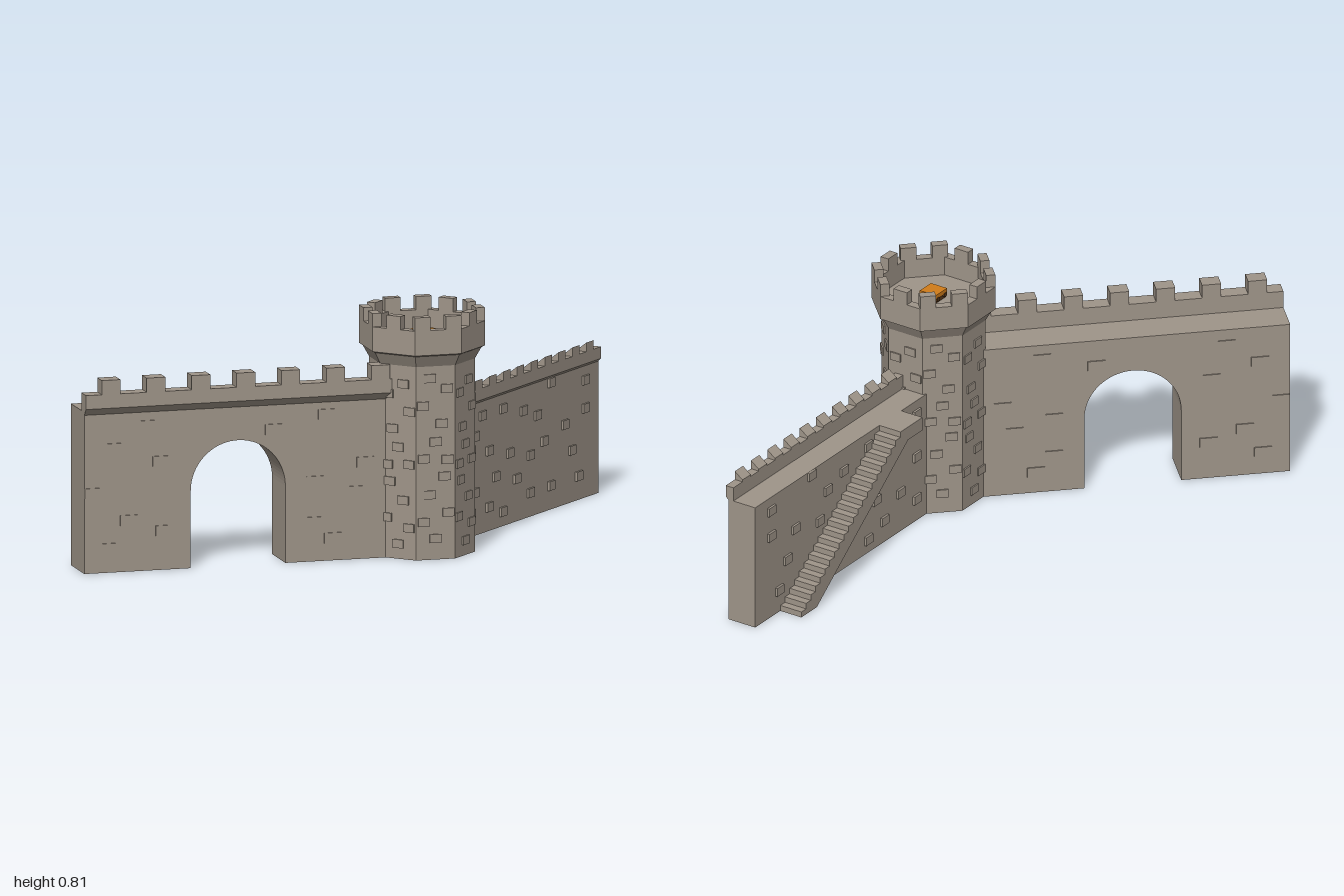
import * as THREE from 'three';

const stone = new THREE.MeshStandardMaterial({ color: 0x9f9589 });
stone.name = 'stone';
const ember = new THREE.MeshStandardMaterial({ color: 0xd07c1a });
ember.name = 'ember orange';
const wood = new THREE.MeshStandardMaterial({ color: 0x5a3a1c });
wood.name = 'charred wood';

// Adds a faceted mesh
function add(parent, name, geometry, material = stone) {
  const g = geometry.index ? geometry.toNonIndexed() : geometry;
  g.computeVertexNormals();
  const mesh = new THREE.Mesh(g, material);
  mesh.name = name;
  parent.add(mesh);
  return mesh;
}

const box = (w, h, d, x, y, z) => new THREE.BoxGeometry(w, h, d).translate(x, y, z);

function group(parent, name) {
  const g = new THREE.Group();
  g.name = name;
  parent.add(g);
  return g;
}

// Sweeps a (z, y) cross-section along x
function sweepX(profile, x0, x1) {
  const shape = new THREE.Shape(profile.map(([z, y]) => new THREE.Vector2(-z, y)));
  return new THREE.ExtrudeGeometry(shape, { depth: x1 - x0, bevelEnabled: false })
    .rotateY(Math.PI / 2).translate(x0, 0, 0);
}

function buildTower(parent) {
  const tower = group(parent, 'tower');
  tower.position.set(0.165, 0, 0.33);

  // Octagonal shaft, flared head and hollow parapet in one profile of apothems
  const c = Math.cos(Math.PI / 8);
  const profile = [[0, 0], [0.16, 0], [0.16, 0.64], [0.18, 0.678], [0.19, 0.683],
    [0.19, 0.765], [0.16, 0.765], [0.16, 0.7], [0, 0.7]]
    .map(([r, y]) => new THREE.Vector2(r / c, y));
  add(tower, 'towerBody', new THREE.LatheGeometry(profile, 8, Math.PI / 8));

  // Raised stones: sideways offset and height on a face
  const stones = [[0.038, 0.565], [-0.043, 0.51], [0.02, 0.45], [0, 0.39], [-0.04, 0.335],
    [0.03, 0.275], [-0.02, 0.215], [0.043, 0.155], [-0.04, 0.125], [0, 0.07],
    [-0.02, 0.6], [0.04, 0.33]];
  for (let i = 0; i < 8; i++) {
    const face = group(tower, 'towerFace');
    face.rotation.y = i * Math.PI / 4;
    const flip = i % 2 ? -1 : 1;
    for (const [x, y] of stones)
      add(face, 'towerStone', box(0.04, 0.028, 0.016, x * flip, y - (i % 2) * 0.02, 0.157));
    // Twelve merlons: pairs on straight faces, singles on diagonal faces
    for (const x of i % 2 ? [0] : [-0.0523, 0.0523])
      add(face, 'towerMerlon', box(0.0523, 0.05, 0.03, x, 0.784, 0.175));
  }

  // Beacon fire on the tower floor
  const fire = group(tower, 'beacon');
  fire.position.y = 0.7;
  fire.rotation.y = Math.PI / 4;
  for (const s of [-1, 1]) {
    add(fire, 'log', box(0.07, 0.012, 0.012, 0, 0.006, s * 0.02), wood);
    add(fire, 'log', box(0.012, 0.012, 0.07, s * 0.02, 0.016, 0), wood);
  }
  add(fire, 'embers', box(0.064, 0.016, 0.064, 0, 0.026, 0), ember);
}

function buildGateWall(parent) {
  const wall = group(parent, 'gateWall');

  // Wall with an arched gateway
  const s = new THREE.Shape();
  s.moveTo(-1, 0);
  s.lineTo(-0.64, 0);
  s.lineTo(-0.64, 0.255);
  s.absarc(-0.48, 0.255, 0.16, Math.PI, 0, true);
  s.lineTo(-0.32, 0);
  s.lineTo(0.04, 0);
  s.lineTo(0.04, 0.535);
  s.lineTo(-1, 0.535);
  add(wall, 'gateWallBody', new THREE.ExtrudeGeometry(s,
    { depth: 0.155, bevelEnabled: false, curveSegments: 20 }).translate(0, 0, 0.255));

  // Overhanging parapet and merlons
  add(wall, 'gateParapet', sweepX([[0.377, 0.5], [0.377, 0.594], [0.43, 0.594],
    [0.43, 0.548], [0.41, 0.525]], -1, 0.035));
  for (let i = 0; i < 7; i++)
    add(wall, 'gateMerlon', box(0.063, 0.055, 0.053, -0.915 + i * 0.152, 0.6135, 0.4035));

  // Raised stones on both faces
  const stones = [[-0.79, 0.48], [-0.36, 0.445], [-0.18, 0.485], [-0.97, 0.265], [-0.74, 0.36],
    [-0.85, 0.17], [-0.73, 0.13], [-0.91, 0.08], [-0.22, 0.265], [-0.05, 0.32],
    [-0.22, 0.13], [-0.09, 0.225], [-0.16, 0.075], [-0.9, 0.41]];
  for (const [x, y] of stones) {
    add(wall, 'gateStoneFront', box(0.058, 0.034, 0.014, x, y, 0.407));
    add(wall, 'gateStoneBack', box(0.058, 0.034, 0.014, x, y, 0.258));
  }
}

function buildStairWall(parent) {
  const wall = group(parent, 'stairWall');
  wall.position.set(0.165, 0, 0.33);
  wall.rotation.y = Math.PI / 4;

  // Wall, walkway and parapet
  add(wall, 'stairWallBody', box(1.032, 0.437, 0.106, 0.616, 0.2185, -0.023));
  add(wall, 'stairWallParapet', sweepX([[0.01, 0.42], [0.01, 0.485], [0.04, 0.485],
    [0.04, 0.446], [0.03, 0.436]], 0.1, 1.132));

  // Merlons with tops sloping inward
  const merlon = [[0.01, 0.475], [0.01, 0.492], [0.04, 0.515], [0.04, 0.475]];
  for (let i = 0; i < 10; i++) {
    const x = 0.196 + i * 0.093;
    add(wall, 'stairWallMerlon', sweepX(merlon, x, x + 0.047));
  }

  // Raised stones on a column and row grid, both faces
  const stones = [[0, 0], [3, 0], [6, 0], [2, 2], [9, 1], [13, -1], [18, 0], [11, 2], [4, 4],
    [0, 5], [7, 5], [12, 5], [15, 4], [18, 3], [5, 7], [10, 6], [2, 8], [8, 8], [16, 7],
    [0, 10], [4, 10], [6, 11], [10, 10], [13, 10], [17, 10]];
  for (const [col, row] of stones) {
    const x = 0.209 + col * 0.0463, y = 0.39 - row * 0.031;
    add(wall, 'stairWallStoneOuter', box(0.04, 0.03, 0.016, x, y, 0.03));
    add(wall, 'stairWallStoneInner', box(0.04, 0.03, 0.016, x, y, -0.076));
  }

  // Landing and open-bottomed flight of steps along the inner face
  const s = new THREE.Shape();
  const steps = 22, x0 = 0.42, run = (1.015 - x0) / steps, rise = 0.437 / steps;
  s.moveTo(0.294, 0.39);
  s.lineTo(0.294, 0.437);
  for (let i = 0; i < steps; i++) {
    s.lineTo(x0 + i * run, 0.437 - i * rise);
    s.lineTo(x0 + i * run, 0.437 - (i + 1) * rise);
  }
  s.lineTo(0.9, 0);
  s.lineTo(0.375, 0.39);
  add(wall, 'stairs', new THREE.ExtrudeGeometry(s, { depth: 0.085, bevelEnabled: false })
    .translate(0, 0, -0.159));
}

export function createModel() {
  const model = new THREE.Group();
  model.name = 'castleWalls';
  buildTower(model);
  buildGateWall(model);
  buildStairWall(model);
  return model;
}
